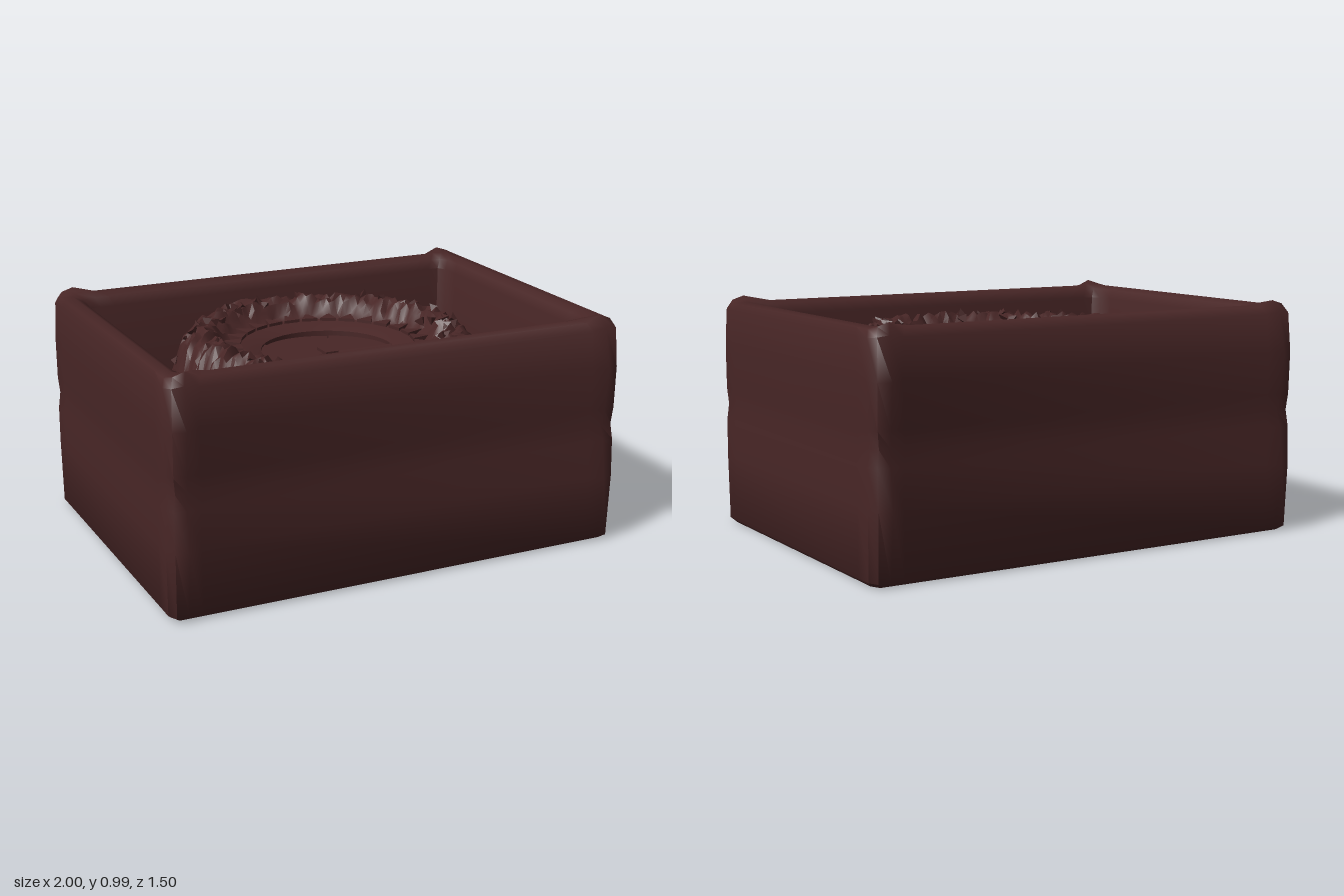
import * as THREE from 'three';
import { toCreasedNormals } from 'three/addons/utils/BufferGeometryUtils.js';

const darkBrown = new THREE.MeshStandardMaterial({ color: 0x482626 });
darkBrown.name = 'darkBrown';

// Small seeded noise source
let seed = 7;
const rand = () => (seed = (seed * 16807) % 2147483647) / 2147483647;

// Rectangular outline with bulging corner posts, counter-clockwise from the front
function outline(hx, hz, y, bulge, ear) {
  const quarter = [
    [hx - 0.13, hz, y],
    [hx - 0.07, hz + bulge, y + ear],
    [hx - 0.02, hz + bulge * 0.3, y + ear * 0.4],
    [hx, hz - 0.04, y],
    [hx - bulge * 0.1, hz - 0.13, y],
  ];
  const flip = (sx, sz, reverse) => {
    const pts = quarter.map(([x, z, py]) => [x * sx, py, z * sz]);
    return reverse ? pts.reverse() : pts;
  };
  return [...flip(1, 1), ...flip(1, -1, true), ...flip(-1, -1), ...flip(-1, 1, true)];
}

// Skin successive outlines into one closed-around surface
function loft(rows) {
  const n = rows[0].length;
  const index = [];
  for (let r = 0; r < rows.length - 1; r++) {
    for (let j = 0; j < n; j++) {
      const k = (j + 1) % n;
      const a = r * n + j, b = r * n + k, c = b + n, d = a + n;
      index.push(a, b, d, b, c, d);
    }
  }
  const geo = new THREE.BufferGeometry();
  geo.setAttribute('position', new THREE.Float32BufferAttribute(rows.flat(2), 3));
  geo.setIndex(index);
  return toCreasedNormals(geo, 1);
}

// Height of the filling: recessed centre, broad raised ring, sloping rubble outside
const profile = [
  [0, 0.75], [0.28, 0.75], [0.37, 0.78], [0.44, 0.81], [0.5, 0.88],
  [0.57, 0.875], [0.62, 0.82], [0.67, 0.68], [0.72, 0.55], [0.8, 0.51], [1.2, 0.48],
];
function heightAt(r) {
  const i = Math.max(1, profile.findIndex((p) => p[0] >= r));
  const [r0, y0] = profile[i - 1], [r1, y1] = profile[i];
  return y0 + ((y1 - y0) * (r - r0)) / (r1 - r0);
}

export function createModel() {
  const model = new THREE.Group();
  const add = (name, geo) => {
    const mesh = new THREE.Mesh(geo, darkBrown);
    mesh.name = name;
    model.add(mesh);
    return mesh;
  };

  // Box: underside, pinched outer walls, rounded rim, inner walls
  const sections = [
    // half width, half depth, height, corner bulge, corner ear
    [0.975, 0.69, 0.005, 0, 0],
    [0.995, 0.715, 0.025, 0.005, 0],
    [0.998, 0.72, 0.3, 0.03, 0],
    [0.997, 0.72, 0.46, 0.012, 0],
    [0.988, 0.718, 0.53, 0, 0],
    [0.995, 0.72, 0.6, 0.012, 0],
    [0.996, 0.72, 0.78, 0.03, 0],
    [0.99, 0.715, 0.94, 0.005, 0.01],
    [0.975, 0.69, 0.97, 0, 0.026],
    [0.93, 0.645, 0.975, 0, 0.008],
    [0.9, 0.605, 0.96, 0, 0],
    [0.88, 0.59, 0.92, 0, 0],
    [0.875, 0.588, 0.4, 0, 0],
  ].map((s) => outline(...s));
  const baseCentre = sections[0].map(() => [0, 0.005, 0]);
  add('box', loft([baseCentre, ...sections]));

  // Crumpled filling mounded into a ring
  const filling = new THREE.PlaneGeometry(1.76, 1.18, 60, 42).rotateX(-Math.PI / 2);
  const pos = filling.attributes.position;
  for (let i = 0; i < pos.count; i++) {
    const r = Math.hypot(pos.getX(i), pos.getZ(i));
    const rough = r < 0.45 ? 0.004 : r < 0.72 ? 0.045 : 0.03;
    pos.setY(i, heightAt(r) + (rand() - 0.5) * rough);
  }
  add('filling', toCreasedNormals(filling, 0.8));

  // Sloping collar around the centre
  const collarProfile = [[0.39, 0.77], [0.39, 0.81], [0.33, 0.8], [0.285, 0.785], [0.285, 0.74]];
  const collar = new THREE.LatheGeometry(collarProfile.map(([r, y]) => new THREE.Vector2(r, y)), 40);
  add('collar', toCreasedNormals(collar, 0.6));

  // Pointed teeth fanning out from the collar
  const teeth = 28;
  const toothShape = new THREE.Shape();
  toothShape.moveTo(-0.036, 0.37);
  toothShape.lineTo(0.036, 0.37);
  toothShape.lineTo(0, 0.455);
  toothShape.closePath();
  const toothGeo = new THREE.ExtrudeGeometry(toothShape, { depth: 0.035, bevelEnabled: false });
  toothGeo.rotateX(-Math.PI / 2).translate(0, 0.785, 0);
  for (let i = 0; i < teeth; i++) {
    add('tooth', toothGeo).rotation.y = (i * 2 * Math.PI) / teeth;
  }

  // Shallow uneven wedges around a small square hub
  const wedges = 5;
  for (let i = 0; i < wedges; i++) {
    const wedge = new THREE.CylinderGeometry(0.285, 0.285, 0.02, 7, 1, false,
      0.2 + (i * 2 * Math.PI) / wedges, (2 * Math.PI) / wedges - 0.03);
    const mesh = add('centreWedge', wedge);
    mesh.position.y = 0.762;
    mesh.rotation.set((rand() - 0.5) * 0.1, 0, (rand() - 0.5) * 0.1);
  }
  add('hub', new THREE.BoxGeometry(0.06, 0.03, 0.09)).position.y = 0.77;

  // Loose crumbs on the ring, slope and floor
  const crumbGeo = new THREE.TetrahedronGeometry(0.025);
  for (let i = 0; i < 140; i++) {
    const a = rand() * Math.PI * 2;
    const r = 0.46 + rand() * 0.38;
    const x = Math.cos(a) * r, z = Math.sin(a) * r;
    if (Math.abs(z) > 0.56) continue;
    const crumb = add('crumb', crumbGeo);
    crumb.position.set(x, heightAt(r) + 0.006, z);
    crumb.rotation.set(rand() * 6, rand() * 6, rand() * 6);
    crumb.scale.setScalar(0.6 + rand() * 0.7);
  }
  return model;
}
